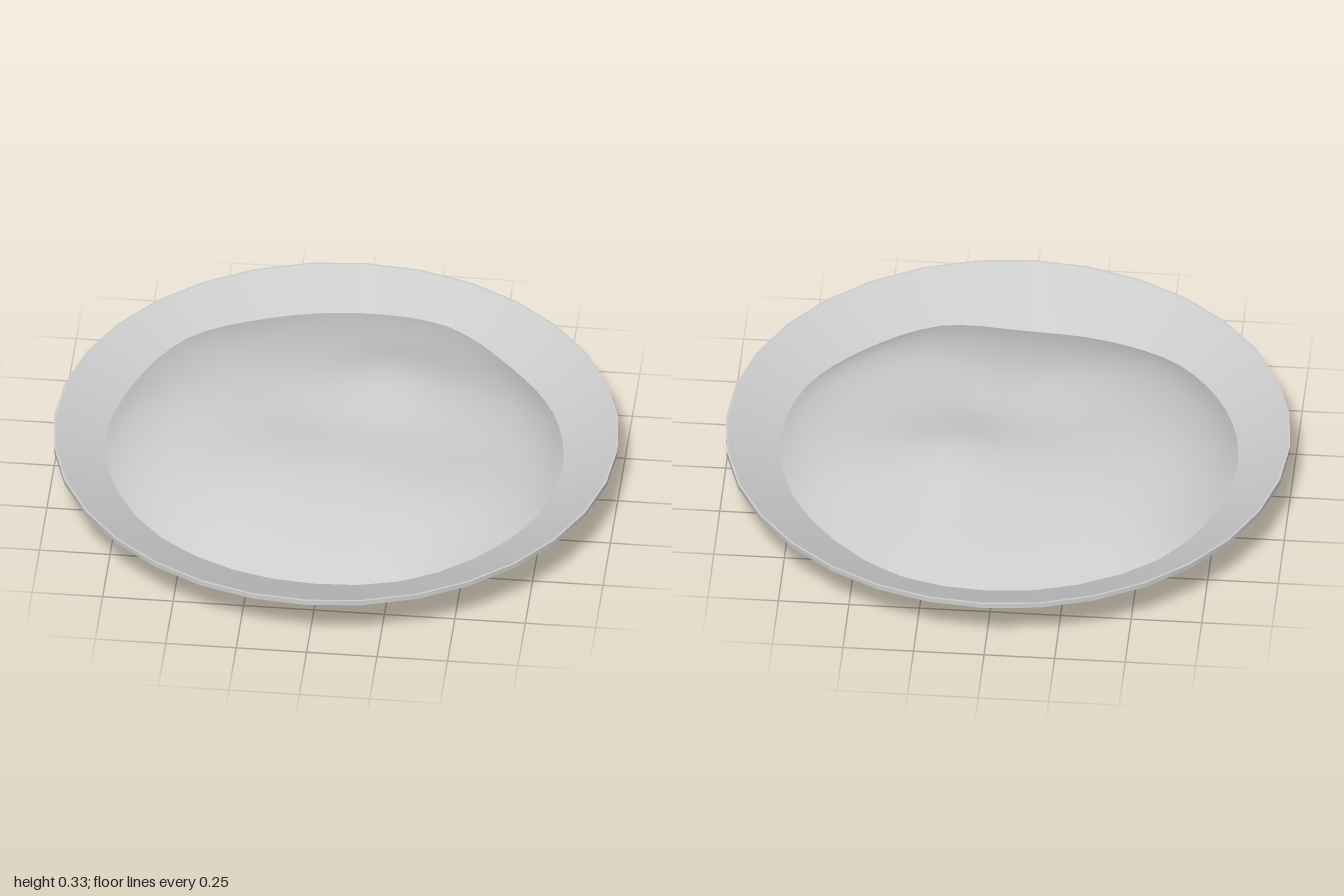
import * as THREE from 'three';
import { toCreasedNormals } from 'three/addons/utils/BufferGeometryUtils.js';

// Inner surface height of the plate at radius r
const plateY = (r) => 0.02 + Math.max(0, r - 0.55) * 0.466;

// Gaussian swell centred on (cx, cz)
const swell = (x, z, cx, cz, size, amount) =>
  amount * Math.exp(-((x - cx) ** 2 + (z - cz) ** 2) / (size * size));

// Irregular top of the filling before it falls away to its edge
const topY = (x, z) =>
  0.293 +
  swell(x, z, 0.18, -0.25, 0.22, 0.045) +
  swell(x, z, -0.55, -0.15, 0.25, 0.012) +
  swell(x, z, -0.15, 0.35, 0.22, 0.012) +
  swell(x, z, 0.55, 0.1, 0.3, -0.02) +
  swell(x, z, 0.0, 0.02, 0.16, -0.012);

function fillingGeometry() {
  // Edge radii every 22.5 degrees, from +x towards +z
  const radii = [0.81, 0.81, 0.79, 0.785, 0.745, 0.76, 0.795, 0.81,
    0.82, 0.82, 0.84, 0.82, 0.82, 0.83, 0.8, 0.805];
  const outline = new THREE.CatmullRomCurve3(radii.map((r, i) => {
    const a = (i / radii.length) * Math.PI * 2;
    return new THREE.Vector3(r * Math.cos(a), 0, r * Math.sin(a));
  }), true);

  const sides = 64, rings = 18;
  const positions = [], index = [];
  for (let j = 0; j <= rings; j++) {
    const t = Math.pow(j / rings, 0.8);
    for (let i = 0; i < sides; i++) {
      const edge = outline.getPoint(i / sides);
      const x = edge.x * t, z = edge.z * t;
      const radius = Math.hypot(edge.x, edge.z);
      const c = edge.x / radius;
      // Steeper shoulders at the sides than at front and back
      const power = 2.3 + 2.4 * c * c + swell(edge.x, edge.z, 0.6, 0.55, 0.3, 1);
      const low = plateY(radius) - 0.005;
      positions.push(x, low + (topY(x, z) - low) * (1 - Math.pow(t, power)), z);
    }
  }
  for (let j = 0; j < rings; j++) {
    for (let i = 0; i < sides; i++) {
      const n = (i + 1) % sides;
      const a = j * sides + i, b = j * sides + n;
      const d = a + sides, e = b + sides;
      if (j > 0) index.push(a, b, d);
      index.push(b, e, d);
    }
  }
  const geometry = new THREE.BufferGeometry();
  geometry.setAttribute('position', new THREE.Float32BufferAttribute(positions, 3));
  geometry.setIndex(index);
  return toCreasedNormals(geometry, 1.2);
}

export function createModel() {
  const group = new THREE.Group();
  group.name = 'filledPlate';
  const grey = new THREE.MeshStandardMaterial({ color: 0xcccccc });
  grey.name = 'light grey';

  // Plate: flat foot, sloping wall, thin rim and hollow inside
  const profile = [[0, 0], [0.54, 0], [1, 0.208], [1, 0.226], [0.992, 0.226], [0.55, 0.02], [0, 0.02]]
    .map(([x, y]) => new THREE.Vector2(x, y));
  const plate = new THREE.Mesh(toCreasedNormals(new THREE.LatheGeometry(profile, 32), 0.35), grey);
  plate.name = 'plate';
  group.add(plate);

  // Uneven mound lying in the plate
  const filling = new THREE.Mesh(fillingGeometry(), grey);
  filling.name = 'filling';
  group.add(filling);

  return group;
}
